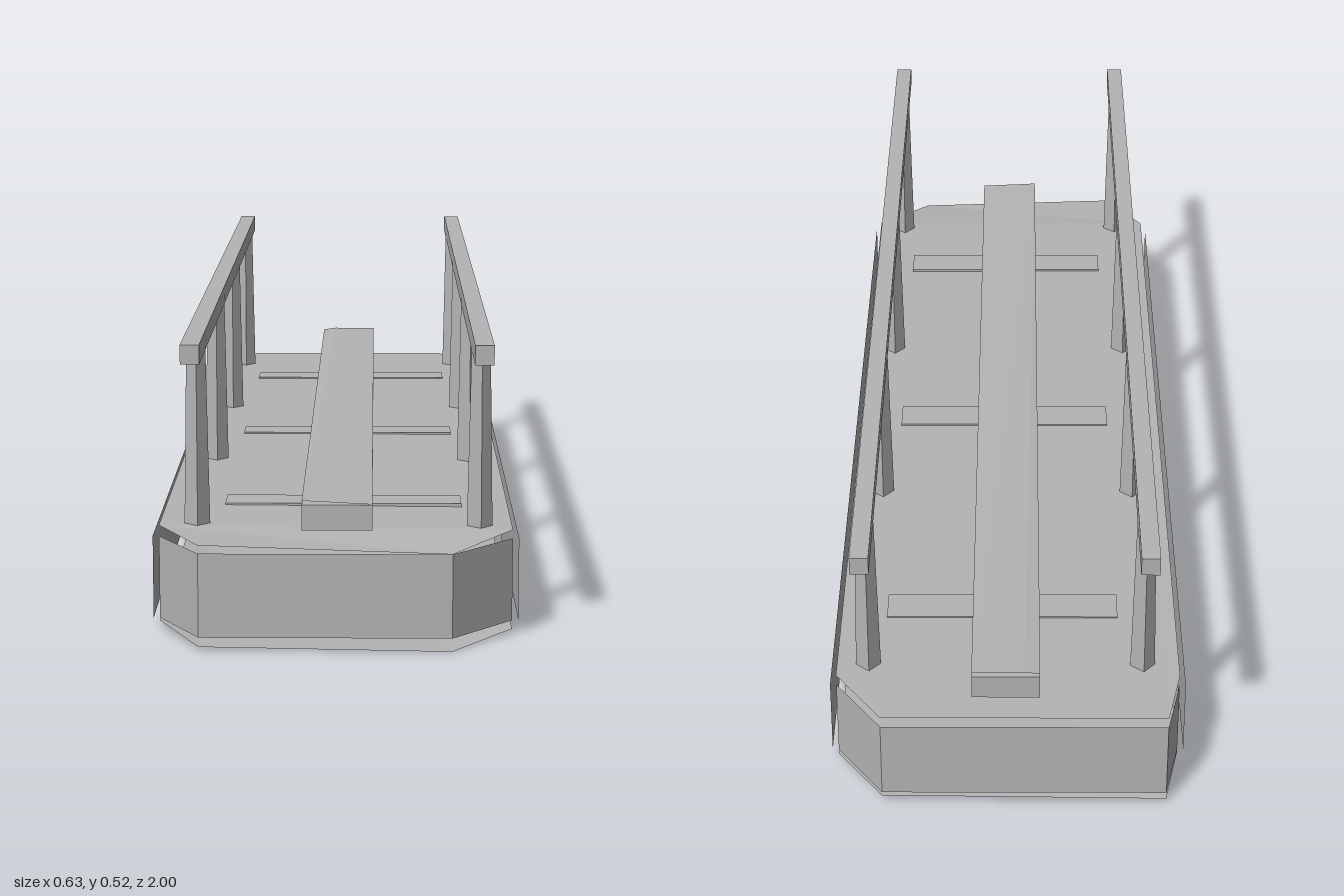
import * as THREE from 'three';

const grey = new THREE.MeshStandardMaterial({ color: 0xb4b4b4, side: THREE.DoubleSide, flatShading: true });
grey.name = 'plain grey';

// Fan of triangles around the first corner of a polygon
function sheet(name, corners) {
  const index = [];
  for (let i = 1; i < corners.length - 1; i++) index.push(0, i, i + 1);
  const g = new THREE.BufferGeometry();
  g.setAttribute('position', new THREE.Float32BufferAttribute(corners.flat(), 3));
  g.setIndex(index);
  const flat = g.toNonIndexed();
  flat.computeVertexNormals();
  const m = new THREE.Mesh(flat, grey);
  m.name = name;
  return m;
}

// Box given by its lower and upper limits
function block(name, [x0, y0, z0], [x1, y1, z1]) {
  const m = new THREE.Mesh(new THREE.BoxGeometry(x1 - x0, y1 - y0, z1 - z0), grey);
  m.position.set((x0 + x1) / 2, (y0 + y1) / 2, (z0 + z1) / 2);
  m.name = name;
  return m;
}

export function createModel() {
  const model = new THREE.Group();
  model.name = 'footbridge';

  // Plan outline: x, z, deck height, bottom height
  const outline = [
    [-0.305, 0.87, 0.189, 0.02], [-0.23, 1, 0.184, 0.009],
    [0.197, 1, 0.17, 0.002], [0.303, 0.88, 0.185, 0.01],
    [0.303, -0.88, 0.19, 0.015], [0.22, -1, 0.19, 0.018],
    [-0.28, -1, 0.189, 0.012], [-0.305, -0.88, 0.19, 0.02],
  ];
  model.add(sheet('deck', outline.map(([x, z, top]) => [x, top, z])));
  model.add(sheet('underside', outline.map(([x, z, , low]) => [x, low, z]).reverse()));

  // Upright hull panels; the long sides stand slightly outside the outline
  const y0 = 0.025, y1 = 0.17;
  outline.forEach(([xa, za], i) => {
    const [xb, zb] = outline[(i + 1) % outline.length];
    const isSide = Math.abs(za - zb) > 1;
    const out = isSide ? 0.011 * Math.sign(xa) : 0;
    const name = isSide ? 'sidePanel' : za === zb ? 'endPanel' : 'cornerPanel';
    model.add(sheet(name, [
      [xa + out, y0, za], [xb + out, y0, zb], [xb + out, y1, zb], [xa + out, y1, za],
    ]));
  });

  // Cross slats lying in the deck
  for (const z of [-0.67, 0, 0.67]) {
    model.add(block('crossSlat', [-0.2, 0.175, z - 0.035], [0.22, 0.192, z + 0.035]));
  }

  // Central beam with a thin loose cover
  model.add(block('beam', [-0.057, 0.2, -0.955], [0.062, 0.244, 0.955]));
  model.add(sheet('beamCover', [
    [-0.057, 0.251, 0.955], [0.062, 0.245, 0.955], [0.062, 0.257, -0.96], [-0.03, 0.258, -0.96], [-0.057, 0.254, -0.96],
  ]));

  // Handrails on tapered square posts
  for (const x of [-0.24, 0.247]) {
    model.add(block('handrail', [x - 0.016, 0.49, -1], [x + 0.016, 0.523, 1]));
    for (const z of [-0.845, -0.28, 0.285, 0.85]) {
      const post = new THREE.Mesh(new THREE.CylinderGeometry(0.016, 0.0225, 0.345, 4), grey);
      post.name = 'railPost';
      post.position.set(x, 0.3425, z);
      post.rotation.y = 0.08;
      model.add(post);
    }
  }
  return model;
}
